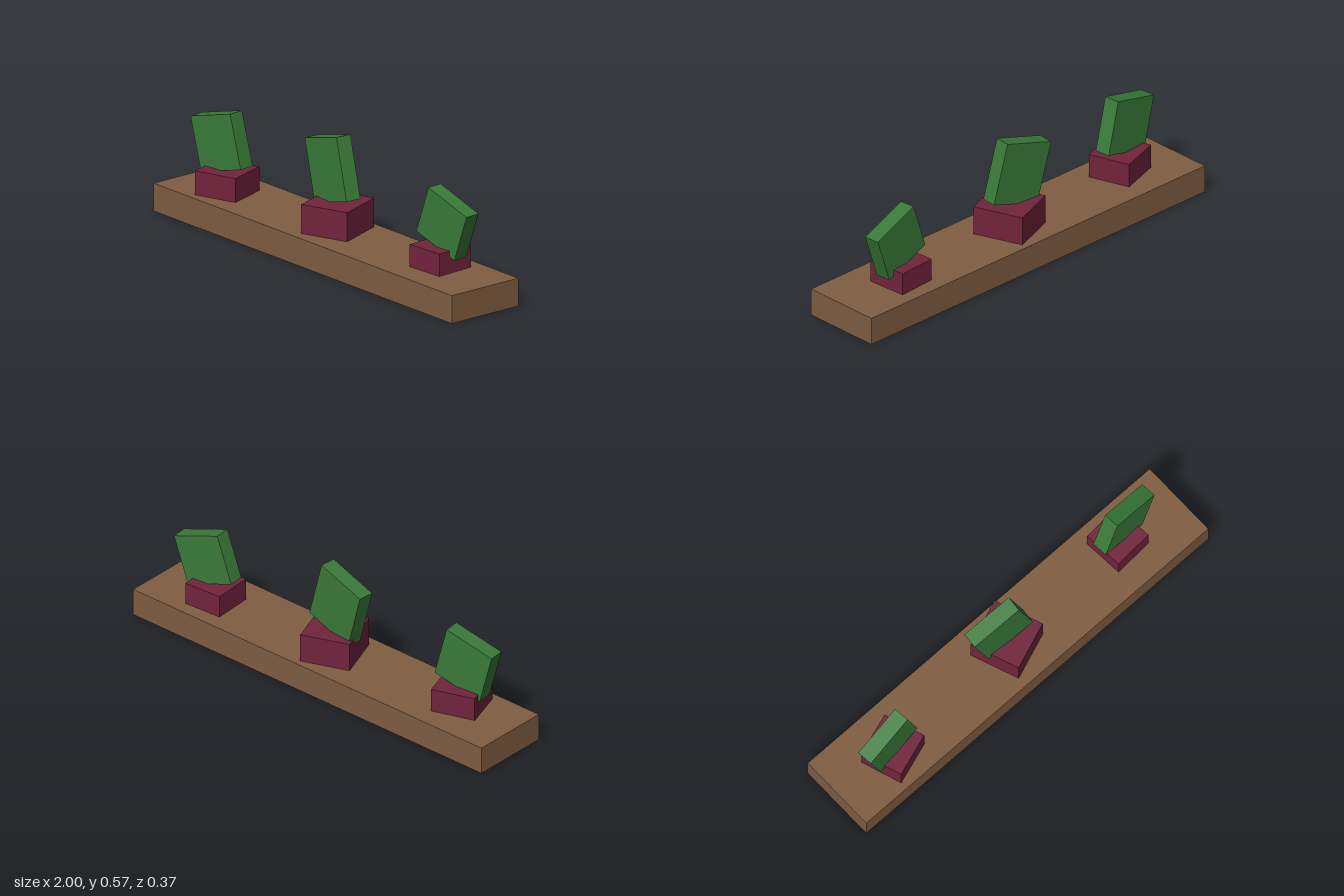
import * as THREE from 'three';

const material = (name, color) => {
  const m = new THREE.MeshStandardMaterial({ color, side: THREE.DoubleSide });
  m.name = name;
  return m;
};

// Box standing on its origin, with no bottom face
function openBox(w, h, d) {
  const g = new THREE.BoxGeometry(w, h, d).translate(0, h / 2, 0);
  const index = Array.from(g.index.array);
  index.splice(18, 6);
  g.setIndex(index);
  g.clearGroups();
  return g;
}

export function createModel() {
  const brown = material('brown wood', 0x805d41);
  const maroon = material('maroon pot', 0x72243d);
  const green = material('green leaf', 0x397a38);

  const model = new THREE.Group();
  model.name = 'plantedShelf';

  const add = (name, geometry, mat, position, yaw = 0, tilt = 0) => {
    const mesh = new THREE.Mesh(geometry, mat);
    mesh.name = name;
    mesh.position.set(...position);
    mesh.rotation.set(0, yaw, tilt);
    model.add(mesh);
  };

  // Long hollow shelf, open underneath
  const shelfTop = 0.127;
  add('shelf', openBox(2, shelfTop, 0.374), brown, [0, 0, 0]);

  // Pots reach a little below the shelf top
  const sunk = 0.05;
  const pots = [
    { name: 'rightPot', x: -0.698, z: 0.027, w: 0.205, d: 0.196, top: 0.236, yaw: 0.32 },
    { name: 'middlePot', x: 0, z: -0.009, w: 0.228, d: 0.234, top: 0.259, yaw: 0.355 },
    { name: 'leftPot', x: 0.667, z: -0.027, w: 0.186, d: 0.187, top: 0.229, yaw: 0.065 },
  ];
  for (const p of pots) {
    const bottom = shelfTop - sunk;
    add(p.name, openBox(p.w, p.top - bottom, p.d), maroon, [p.x, bottom, p.z], p.yaw);
  }

  // Tilted slab leaves resting in the pots
  const leaves = [
    { name: 'rightLeaf', at: [-0.731, 0.354, 0.031], w: 0.247, h: 0.247, yaw: 0.1, tilt: 0.26 },
    { name: 'middleLeaf', at: [-0.041, 0.397, -0.015], w: 0.25, h: 0.283, yaw: -0.09, tilt: 0.27 },
    { name: 'leftLeaf', at: [0.708, 0.339, -0.033], w: 0.247, h: 0.228, yaw: 0.08, tilt: -0.335 },
  ];
  for (const l of leaves) {
    add(l.name, new THREE.BoxGeometry(l.w, l.h, 0.073), green, l.at, l.yaw, l.tilt);
  }

  return model;
}
